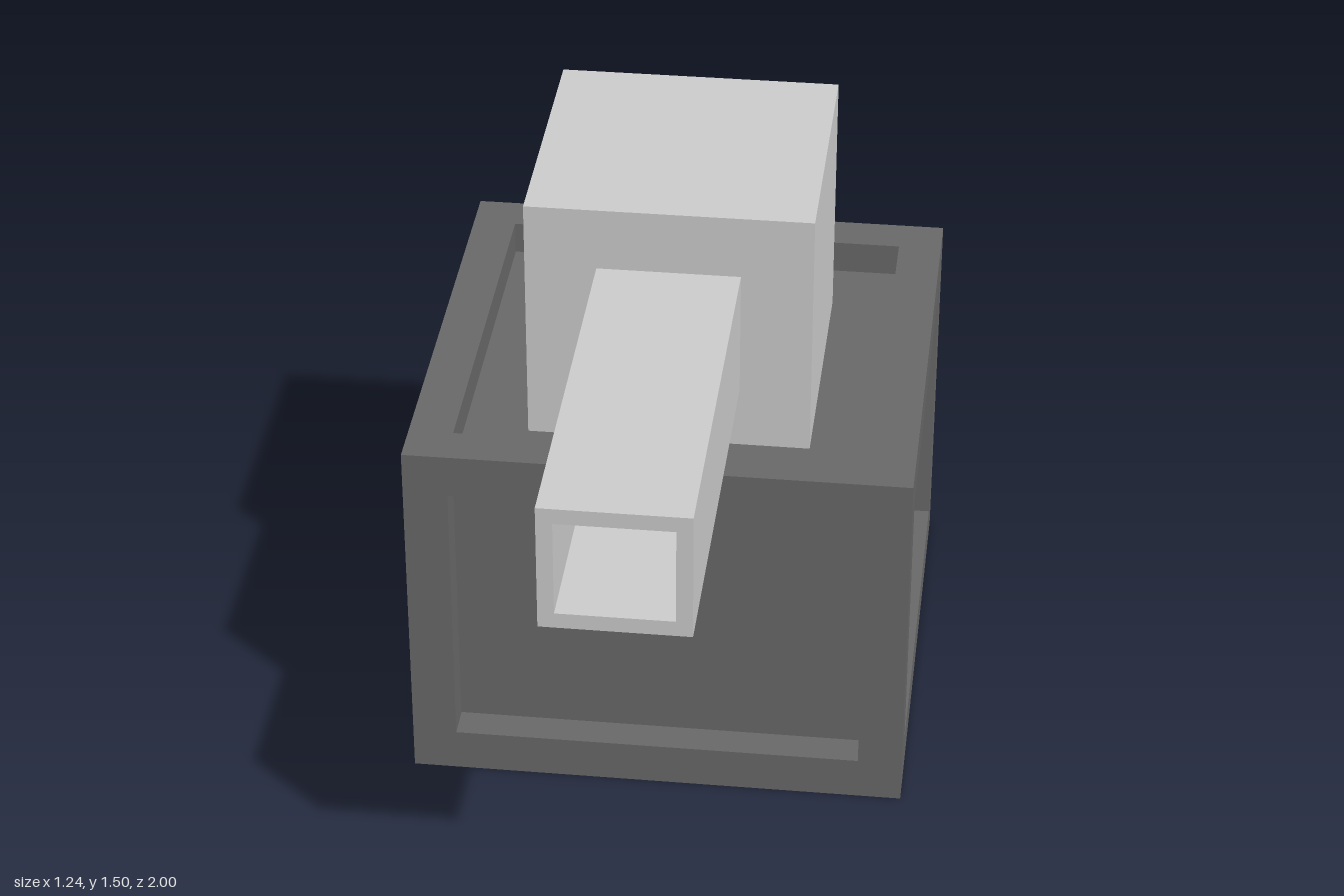
import * as THREE from 'three';

const BASE_W = 1.24, BASE_H = 0.945, BASE_Z = -0.38, BORDER = 0.11, RECESS = 0.085;

// Flat rim around a sunken rectangle, facing +z
function recessedPanel(w, h) {
  const ring = (x, y, z) => [[-x, -y, z], [x, -y, z], [x, y, z], [-x, y, z]];
  const ix = w / 2 - BORDER, iy = h / 2 - BORDER;
  const rings = [ring(w / 2, h / 2, 0), ring(ix, iy, 0), ring(ix, iy, -RECESS)];
  const points = [];
  const quad = (a, b, c, d) => points.push(a, b, c, a, c, d);
  for (let r = 0; r < 2; r++) {
    for (let i = 0; i < 4; i++) {
      const j = (i + 1) % 4;
      quad(rings[r][i], rings[r][j], rings[r + 1][j], rings[r + 1][i]);
    }
  }
  quad(...rings[2]);
  const geometry = new THREE.BufferGeometry();
  geometry.setAttribute('position', new THREE.Float32BufferAttribute(points.flat(), 3));
  geometry.computeVertexNormals();
  return geometry;
}

function rect(path, x, y) {
  path.moveTo(-x, -y).lineTo(x, -y).lineTo(x, y).lineTo(-x, y).closePath();
  return path;
}

export function createModel() {
  const model = new THREE.Group();
  const grey = new THREE.MeshStandardMaterial({ color: 0xcccccc });
  const dark = new THREE.MeshStandardMaterial({ color: 0x686868 });

  // Crate base: six recessed panels
  const base = new THREE.Group();
  base.name = 'base';
  base.position.set(0, BASE_H / 2, BASE_Z);
  const addPanel = (name, h, distance, rx, ry) => {
    const mesh = new THREE.Mesh(recessedPanel(BASE_W, h), dark);
    mesh.name = name;
    mesh.rotation.set(rx, ry, 0);
    mesh.position.set(0, 0, distance).applyEuler(mesh.rotation);
    base.add(mesh);
  };
  ['frontPanel', 'leftPanel', 'backPanel', 'rightPanel'].forEach((name, i) =>
    addPanel(name, BASE_H, BASE_W / 2, 0, i * Math.PI / 2));
  addPanel('topPanel', BASE_W, BASE_H / 2, -Math.PI / 2, 0);
  addPanel('bottomPanel', BASE_W, BASE_H / 2, Math.PI / 2, 0);
  model.add(base);

  // Turret block standing on the floor of the top recess
  const turretBottom = BASE_H - RECESS, turretTop = 1.5;
  const turret = new THREE.Mesh(new THREE.BoxGeometry(0.7, turretTop - turretBottom, 0.7), grey);
  turret.name = 'turret';
  turret.position.set(0, (turretTop + turretBottom) / 2, BASE_Z);
  model.add(turret);

  // Hollow square barrel
  const section = rect(new THREE.Shape(), 0.175, 0.16);
  section.holes.push(rect(new THREE.Path(), 0.137, 0.121));
  const barrel = new THREE.Mesh(
    new THREE.ExtrudeGeometry(section, { depth: 1.03, bevelEnabled: false }), grey);
  barrel.name = 'barrel';
  barrel.position.set(0, 1.18, -0.03);
  model.add(barrel);

  return model;
}
